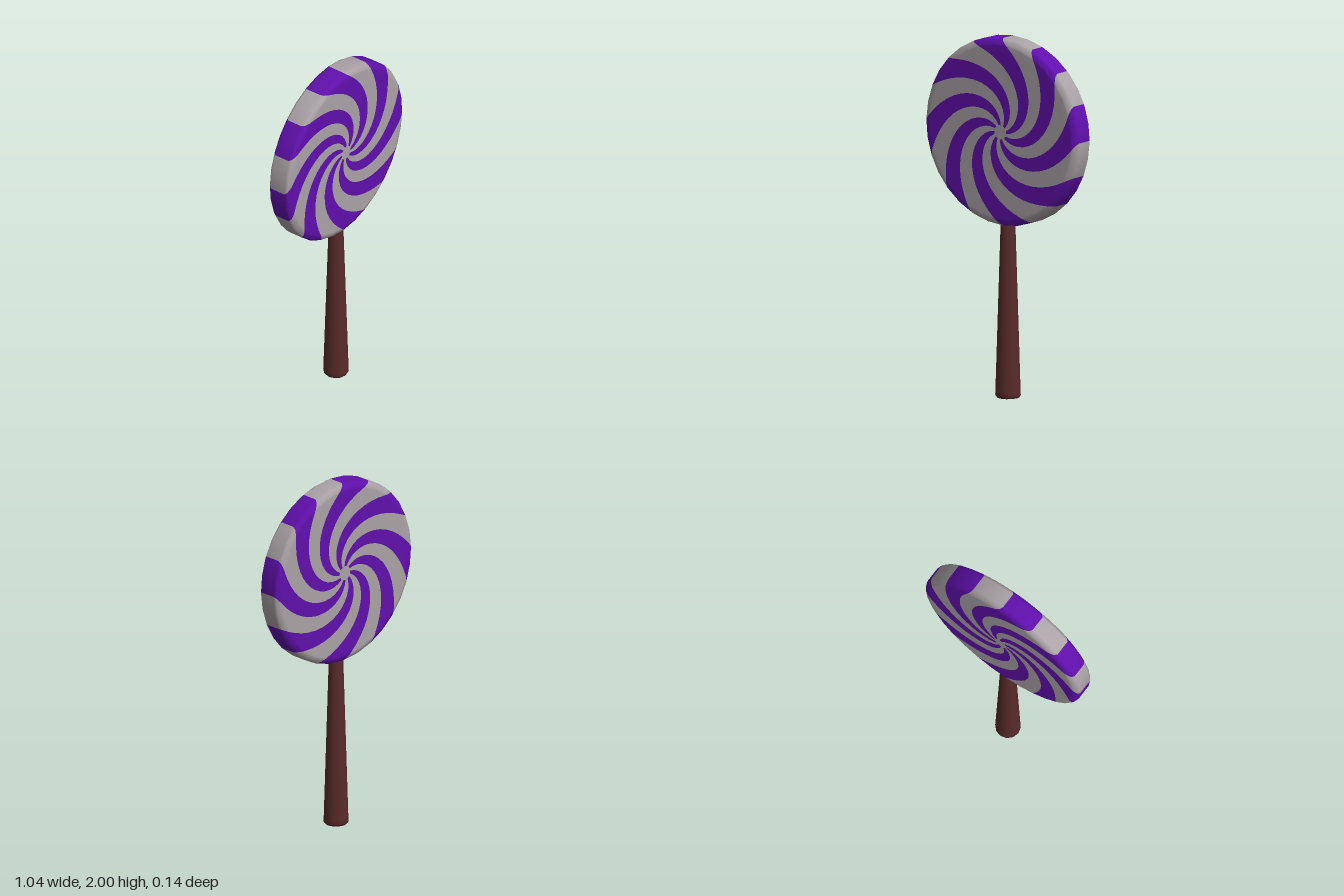
import * as THREE from 'three';
import { toCreasedNormals } from 'three/addons/utils/BufferGeometryUtils.js';

const RADIUS = 0.52, SIDES = 32, CENTRE_Y = 1.48;

const grey = new THREE.MeshStandardMaterial({ color: 0xaaa2a6 });
grey.name = 'paleGrey';
const purple = new THREE.MeshStandardMaterial({ color: 0x6010ac });
purple.name = 'purple';
const brown = new THREE.MeshStandardMaterial({ color: 0x582a2b });
brown.name = 'darkBrown';

// How far the swirl has turned at a given radius, in radians
const twist = r => THREE.MathUtils.degToRad(105) * Math.pow(Math.max(0, 1 - r / RADIUS), 1.15);

// Bevelled disc whose grid follows the swirl, so each stripe is a strip of faces
function swirlDisc() {
  const half = [[0, 0.07], [0.04, 0.07]];
  for (let i = 1; i <= 14; i++) half.push([0.04 + 0.44 * i / 14, 0.07]);
  half.push([0.49, 0.069], [0.51, 0.06], [RADIUS, 0.045]);
  const profile = [...half, ...half.slice().reverse().map(([r, z]) => [r, -z])];

  const positions = [];
  for (const [r, z] of profile) {
    for (let j = 0; j < SIDES; j++) {
      const a = j / SIDES * Math.PI * 2 - twist(r);
      positions.push(r * Math.cos(a), r * Math.sin(a), z);
    }
  }

  const faces = [[], []]; // grey, purple
  const last = profile.length - 2;
  for (let i = 0; i <= last; i++) {
    for (let j = 0; j < SIDES; j++) {
      const k = (j + 1) % SIDES;
      const a = i * SIDES + j, b = a + SIDES, d = i * SIDES + k, c = d + SIDES;
      const hub = i === 0 || i === last;
      const list = faces[!hub && j % 4 < 2 ? 1 : 0];
      if (i < last) list.push(a, b, c);
      if (i === last) list.push(a, b, d);
      else if (i > 0) list.push(a, c, d);
    }
  }

  const geometry = new THREE.BufferGeometry();
  geometry.setAttribute('position', new THREE.Float32BufferAttribute(positions, 3));
  geometry.setIndex([...faces[0], ...faces[1]]);
  geometry.addGroup(0, faces[0].length, 0);
  geometry.addGroup(faces[0].length, faces[1].length, 1);
  geometry.computeVertexNormals();
  return geometry;
}

export function createModel() {
  const model = new THREE.Group();
  model.name = 'lollipop';

  // Striped candy
  const candy = new THREE.Mesh(swirlDisc(), [grey, purple]);
  candy.name = 'swirlCandy';
  candy.position.y = CENTRE_Y;
  model.add(candy);

  // Tapered stick with a softened foot
  const outline = [[0, 0], [0.062, 0], [0.07, 0.012], [0.069, 0.035], [0.04, 0.98], [0, 0.98]]
    .map(([x, y]) => new THREE.Vector2(x, y));
  const stick = new THREE.Mesh(toCreasedNormals(new THREE.LatheGeometry(outline, 12), 0.7), brown);
  stick.name = 'stick';
  model.add(stick);

  return model;
}
